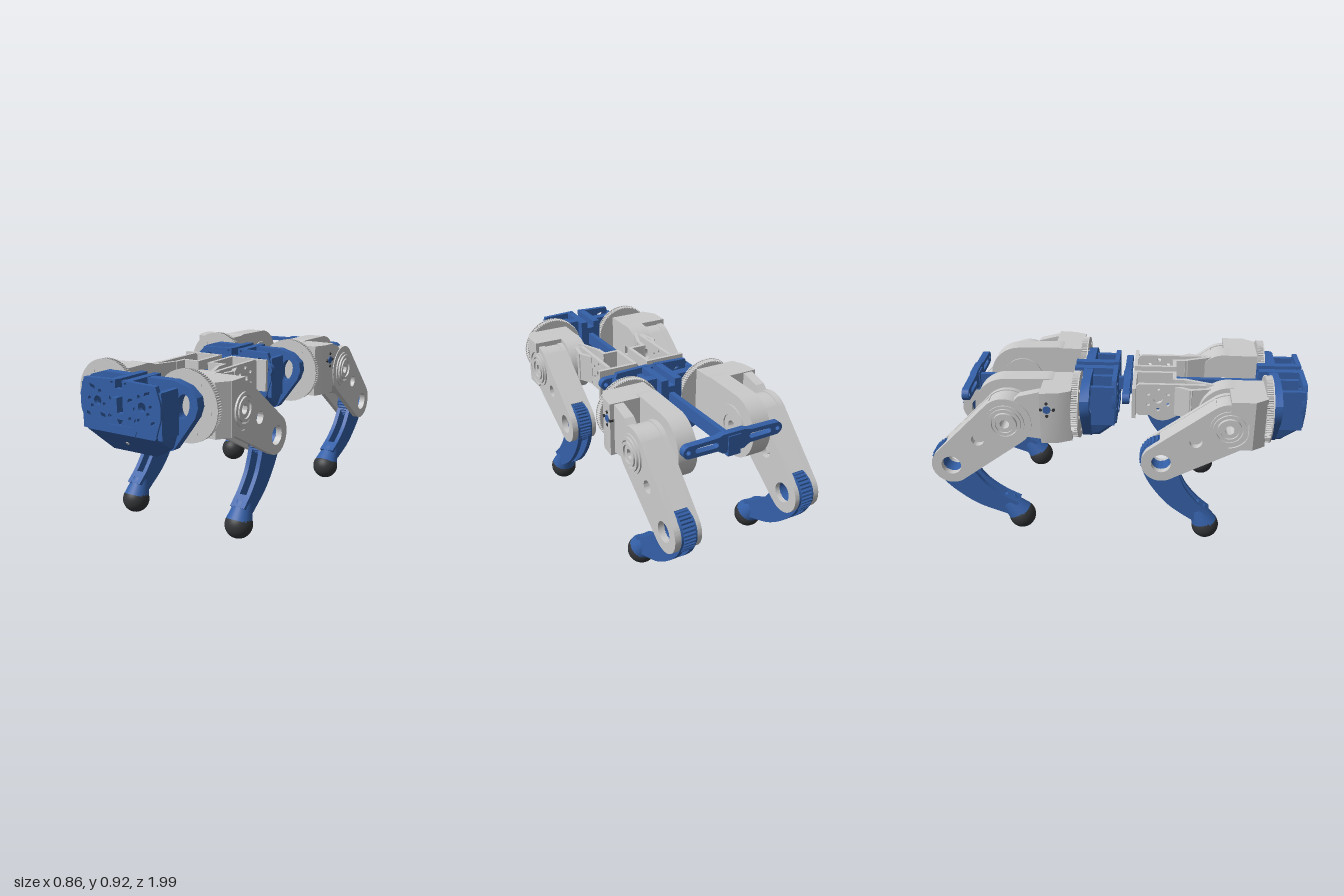
import * as THREE from 'three';
import { toCreasedNormals } from 'three/addons/utils/BufferGeometryUtils.js';
import { ConvexGeometry } from 'three/addons/geometries/ConvexGeometry.js';

const grey = new THREE.MeshStandardMaterial({ color: 0xcccccc });
const blue = new THREE.MeshStandardMaterial({ color: 0x3460a8 });
const dark = new THREE.MeshStandardMaterial({ color: 0x333538 });

function add(parent, name, geo, mat, x = 0, y = 0, z = 0) {
  const m = new THREE.Mesh(geo, mat);
  m.name = name;
  m.position.set(x, y, z);
  parent.add(m);
  return m;
}
// Box given by its limits on each axis
const box = (p, name, mat, x0, x1, y0, y1, z0, z1) =>
  add(p, name, new THREE.BoxGeometry(x1 - x0, y1 - y0, z1 - z0), mat, (x0 + x1) / 2, (y0 + y1) / 2, (z0 + z1) / 2);

const poly = (pts) => new THREE.Shape(pts.map((p) => new THREE.Vector2(p[0], p[1])));
const mirrored = (half) => poly([...half, ...half.slice().reverse().map(([x, y]) => [-x, y])]);
const circle = (u, v, r) => new THREE.Shape().absarc(u, v, r, 0, Math.PI * 2, false);
function withHoles(shape, ...holes) {
  shape.holes.push(...holes);
  return shape;
}
const extrude = (shape, depth) =>
  toCreasedNormals(new THREE.ExtrudeGeometry(shape, { depth, bevelEnabled: false, curveSegments: 20 }), 0.5);
// Shape in (x, y) running from z0 to z1
const plateZ = (p, name, mat, shape, z0, z1) => add(p, name, extrude(shape, z1 - z0), mat, 0, 0, z0);
// Shape in (z, y) running from x0 to x1
const plateX = (p, name, mat, shape, x0, x1) =>
  add(p, name, extrude(shape, x1 - x0).rotateY(-Math.PI / 2), mat, x1, 0, 0);
// Shape in (x, z) running from y0 to y1
const plateY = (p, name, mat, shape, y0, y1) =>
  add(p, name, extrude(shape, y1 - y0).rotateX(Math.PI / 2), mat, 0, y1, 0);

// Outline around two circles of different size
function capsule(u1, v1, r1, u2, v2, r2) {
  const a = Math.atan2(v2 - v1, u2 - u1);
  const b = Math.acos((r1 - r2) / Math.hypot(u2 - u1, v2 - v1));
  return new THREE.Shape()
    .absarc(u1, v1, r1, a + b, a - b + Math.PI * 2, false)
    .absarc(u2, v2, r2, a - b, a + b, false);
}
function gear(u, v, r, depth, teeth) {
  const pts = [];
  for (let i = 0; i < teeth * 4; i++) {
    const t = (i / (teeth * 4)) * Math.PI * 2;
    const q = i % 4 < 2 ? r : r - depth;
    pts.push([u + q * Math.cos(t), v + q * Math.sin(t)]);
  }
  return poly(pts);
}
// Upright wall following points in (x, z)
function wall(p, name, pts, t, y0, y1) {
  for (let i = 1; i < pts.length; i++) {
    const [ax, az] = pts[i - 1], [bx, bz] = pts[i];
    const g = new THREE.BoxGeometry(t, y1 - y0, Math.hypot(bx - ax, bz - az) + t);
    add(p, name, g, grey, (ax + bx) / 2, (y0 + y1) / 2, (az + bz) / 2).rotation.y = Math.atan2(bx - ax, bz - az);
  }
}

// Blue shoulder frame: perforated face, chin, side walls and winged back plate
function bodyFrame(z) {
  const g = new THREE.Group();
  g.name = 'bodyFrame';
  g.position.z = z;
  const face = mirrored([[0.02, 0.835], [0.02, 0.875], [0.21, 0.868], [0.235, 0.79], [0.235, 0.72], [0.205, 0.63]]);
  face.holes.push(poly([[-0.02, 0.72], [0.02, 0.72], [0.02, 0.8], [-0.02, 0.8]]), poly([[-0.018, 0.69], [0.018, 0.69], [0, 0.66]]));
  for (const s of [-1, 1]) {
    face.holes.push(circle(s * 0.13, 0.765, 0.022), circle(s * 0.04, 0.86, 0.007));
    for (const [x, y] of [[0.09, 0.75], [0.165, 0.735], [0.115, 0.81], [0.18, 0.77], [0.06, 0.7]])
      face.holes.push(circle(s * x, y, 0.01));
    for (const [x, y] of [[0.065, 0.79], [0.16, 0.83], [0.1, 0.7], [0.195, 0.7]])
      face.holes.push(poly([[x - 0.018, y - 0.012], [x + 0.012, y - 0.004], [x + 0.018, y + 0.012], [x - 0.012, y + 0.004]].map(([a, b]) => [s * a, b])));
  }
  plateZ(g, 'facePlate', blue, face, -0.025, 0);

  const back = mirrored([[0.02, 0.835], [0.02, 0.87], [0.21, 0.872], [0.285, 0.85], [0.335, 0.805], [0.342, 0.76], [0.325, 0.71], [0.245, 0.6], [0.2, 0.54], [0.11, 0.507]]);
  for (const s of [-1, 1])
    back.holes.push(new THREE.Shape().absellipse(s * 0.258, 0.757, 0.036, 0.06, 0, Math.PI * 2, false, s * -0.25));
  plateZ(g, 'wingPlate', blue, back, -0.185, -0.135);

  const chin = [];
  for (const s of [-1, 1])
    chin.push([s * 0.21, 0.635, 0], [s * 0.2, 0.62, 0], [s * 0.23, 0.635, -0.15], [s * 0.205, 0.56, -0.1], [s * 0.13, 0.507, -0.1], [s * 0.12, 0.507, -0.17], [s * 0.2, 0.545, -0.17]);
  add(g, 'chin', new ConvexGeometry(chin.map((c) => new THREE.Vector3(...c))), blue);
  add(g, 'chinScrew', new THREE.CylinderGeometry(0.01, 0.01, 0.006, 12).rotateX(2.29), grey, 0, 0.565, -0.049);
  plateZ(g, 'chinLip', blue, mirrored([[0.075, 0.662], [0.098, 0.645], [0.09, 0.622]]), -0.02, 0.005);
  for (const s of [-1, 1]) {
    // Side wall, inner rib and top clamp
    for (const x of [0.08, 0.222]) box(g, 'rib', blue, s * x - 0.012, s * x + 0.012, 0.62, 0.84, -0.14, -0.01);
    box(g, 'clampHalf', blue, s * 0.04 - 0.02, s * 0.04 + 0.02, 0.79, 0.873, -0.235, -0.02);
  }
  box(g, 'clampBase', blue, -0.06, 0.06, 0.69, 0.835, -0.235, -0.12);
  return g;
}

// Blue cross bar with slotted arms
function crossBar(z, name) {
  const shape = new THREE.Shape()
    .absarc(-0.245, 0.79, 0.032, Math.PI / 2, Math.PI * 1.5, false)
    .lineTo(-0.09, 0.755).lineTo(-0.06, 0.735).lineTo(0.06, 0.735).lineTo(0.09, 0.755)
    .absarc(0.245, 0.79, 0.032, -Math.PI / 2, Math.PI / 2, false)
    .lineTo(0.09, 0.825).lineTo(0.06, 0.835).lineTo(-0.06, 0.835).lineTo(-0.09, 0.825);
  for (const s of [-1, 1])
    shape.holes.push(circle(s * 0.25, 0.79, 0.012), capsule(s * 0.1, 0.79, 0.014, s * 0.2, 0.79, 0.013));
  const g = new THREE.Group();
  g.name = name;
  plateZ(g, 'bar', blue, shape, z - 0.018, z + 0.018);
  box(g, 'barClamp', blue, -0.035, 0.035, 0.715, 0.82, z - 0.024, z + 0.024);
  return g;
}

// Leg on the +x side, with hip at the group's origin in y and z
function leg(front) {
  const g = new THREE.Group();
  g.name = front ? 'frontLeg' : 'rearLeg';
  g.position.set(0, 0.71, front ? 0.565 : -0.575);
  g.rotation.x = front ? 0 : -0.147;
  const [kz, ky] = [-0.34, -0.213];
  const thigh = () => withHoles(capsule(0, 0, 0.135, kz, ky, 0.104), circle(0, 0, 0.028), circle(-0.165, -0.08, 0.033), circle(kz, ky, 0.052));
  plateX(g, 'thighOuterPlate', grey, thigh(), 0.375, 0.41);
  plateX(g, 'thighInnerPlate', grey, thigh(), 0.268, 0.295);
  plateX(g, 'thighCore', grey, withHoles(capsule(0, 0, 0.13, kz * 0.17, ky * 0.17, 0.122), circle(0, 0, 0.028)), 0.295, 0.375);
  // Back spine of the thigh, joining both plates above the knee gear
  const along = (t, r) => [-0.847 * t - 0.531 * r, -0.531 * t + 0.847 * r];
  plateX(g, 'thighSpine', grey, poly([along(0, 0.133), along(0.345, 0.108), along(0.335, 0.075), along(0.26, 0.08), along(0, 0.08)]), 0.295, 0.375);
  // Stepped hub rings
  [[0.1, 0.08, 0.418], [0.085, 0.068, 0.428], [0.062, 0.046, 0.432], [0.046, 0.024, 0.422]].forEach(([r, h, x]) =>
    plateX(g, 'hubRing', grey, withHoles(circle(0, 0, r), circle(0, 0, h)), 0.405, x));

  const calf = new THREE.Group();
  calf.name = 'calf';
  calf.position.set(0, ky, kz);
  calf.rotation.x = front ? 0 : -0.1;
  g.add(calf);
  plateX(calf, 'kneeGear', blue, withHoles(gear(0, 0, 0.114, 0.007, 36), circle(0, 0, 0.052)), 0.304, 0.366);
  const V = (pts) => pts.map((p) => new THREE.Vector2(...p));
  for (const x of [0.293, 0.354]) {
    const rail = new THREE.Shape().absarc(0, 0, 0.106, -0.6, Math.PI, false);
    rail.splineThru(V([[-0.09, -0.08], [-0.038, -0.176], [0.053, -0.283], [0.185, -0.378]]));
    rail.lineTo(0.268, -0.324);
    rail.splineThru(V([[0.197, -0.26], [0.133, -0.177], [0.1, -0.1]]));
    plateX(calf, 'calfRail', blue, withHoles(rail, circle(0, 0, 0.052)), x, x + 0.023);
  }
  // Flared socket and ball foot
  plateX(calf, 'calfBridge', blue, poly([[0.105, -0.322], [0.185, -0.376], [0.266, -0.324], [0.21, -0.274]]), 0.3, 0.37);
  add(calf, 'footSocket', new THREE.CylinderGeometry(0.045, 0.07, 0.1, 24), blue, 0.335, -0.362, 0.224).rotation.x = -0.45;
  add(calf, 'foot', new THREE.SphereGeometry(0.073, 32, 24), dark, 0.335, -0.422, 0.25);
  return g;
}

// Toothed hip ring with a smooth front flange and screws
function hipGear(p, z0, z1) {
  plateZ(p, 'hipGear', grey, gear(0.24, 0.745, 0.174, 0.006, 90), z0, z1 - 0.006);
  plateZ(p, 'hipFlange', grey, circle(0.24, 0.745, 0.175), z1 - 0.006, z1);
  for (let i = 0; i < 6; i++) {
    const t = 0.95 + (i * Math.PI) / 3;
    add(p, 'hipScrew', new THREE.CylinderGeometry(0.01, 0.01, 0.008, 12).rotateX(Math.PI / 2), grey, 0.24 + 0.135 * Math.cos(t), 0.745 + 0.135 * Math.sin(t), z1);
  }
}

// Front hip: cowl, round lobe and open motor cradle
function frontHip() {
  const g = new THREE.Group();
  g.name = 'frontHip';
  hipGear(g, 0.745, 0.782);
  plateY(g, 'hipCowl', grey, poly([[0.16, 0.75], [0.38, 0.75], [0.425, 0.685], [0.425, 0.66], [0.268, 0.58], [0.16, 0.58]]), 0.6, 0.868);
  const cheek = poly([[0.685, 0.6], [0.685, 0.868], [0.565, 0.868]]);
  cheek.absarc(0.565, 0.71, 0.1, Math.PI / 2, -Math.PI / 2, true).lineTo(0.565, 0.6);
  plateX(g, 'hipCheek', grey, cheek, 0.268, 0.427);
  plateX(g, 'hipLobe', grey, withHoles(capsule(0.565, 0.715, 0.155, 0.64, 0.735, 0.13), circle(0.565, 0.71, 0.028)), 0.16, 0.268);
  const side = poly([[0.075, 0.69], [0.1, 0.67], [0.45, 0.67], [0.45, 0.85], [0.1, 0.85], [0.075, 0.83]]);
  side.holes.push(circle(0.34, 0.765, 0.03), circle(0.2, 0.765, 0.024));
  for (let i = 0; i < 6; i++) {
    const t = (i + 0.5) * Math.PI / 3;
    side.holes.push(circle(0.2 + 0.06 * Math.cos(t), 0.765 + 0.06 * Math.sin(t), 0.01));
  }
  plateX(g, 'cradleSide', grey, side, 0.182, 0.202);
  wall(g, 'cradleWall', [[0.25, 0.075], [0.04, 0.075], [0.04, 0.285], [0.125, 0.285], [0.13, 0.35], [0.18, 0.48]], 0.02, 0.68, 0.85);
  wall(g, 'cradleBrace', [[0.2, 0.3], [0.235, 0.37], [0.215, 0.47]], 0.02, 0.68, 0.84);
  return g;
}

// Rear hip: boxed mount with a large round motor lobe
function rearHip() {
  const g = new THREE.Group();
  g.name = 'rearHip';
  hipGear(g, -0.238, -0.2);
  plateY(g, 'hipMount', grey, poly([[0.16, -0.235], [0.39, -0.235], [0.42, -0.3], [0.428, -0.39], [0.16, -0.39]]), 0.61, 0.89);
  const arm = poly([[-0.38, 0.62], [-0.38, 0.885], [-0.4, 0.885], [-0.5, 0.86], [-0.53, 0.83], [-0.53, 0.64]]);
  plateX(g, 'hipArm', grey, arm, 0.355, 0.405);
  // Screw pattern on the mount's outer face
  for (const [u, v, r] of [[0, 0, 0.02], [0.035, 0, 0.008], [-0.03, 0, 0.008], [0, 0.035, 0.008], [0, -0.035, 0.008]])
    plateX(g, 'mountScrew', r > 0.01 ? blue : dark, circle(-0.355 + u, 0.8 + v, r), 0.41, 0.429);
  plateX(g, 'motorLobe', grey, withHoles(capsule(-0.592, 0.722, 0.167, -0.38, 0.745, 0.15), circle(-0.575, 0.71, 0.028)), 0.16, 0.262);
  plateX(g, 'motorRim', grey, withHoles(circle(-0.575, 0.715, 0.11), circle(-0.575, 0.71, 0.06)), 0.152, 0.165);
  return g;
}

export function createModel() {
  const model = new THREE.Group();
  model.name = 'fourLeggedRobot';
  box(model, 'spine', blue, -0.014, 0.014, 0.73, 0.8, -0.8, 1);
  model.add(bodyFrame(0.967), bodyFrame(-0.017), crossBar(0.033, 'middleCrossBar'), crossBar(-0.805, 'tailCrossBar'));
  for (const s of [1, -1]) {
    const side = new THREE.Group();
    side.name = s > 0 ? 'leftSide' : 'rightSide';
    side.scale.x = s;
    side.add(frontHip(), rearHip(), leg(true), leg(false));
    model.add(side);
  }
  return model;
}
